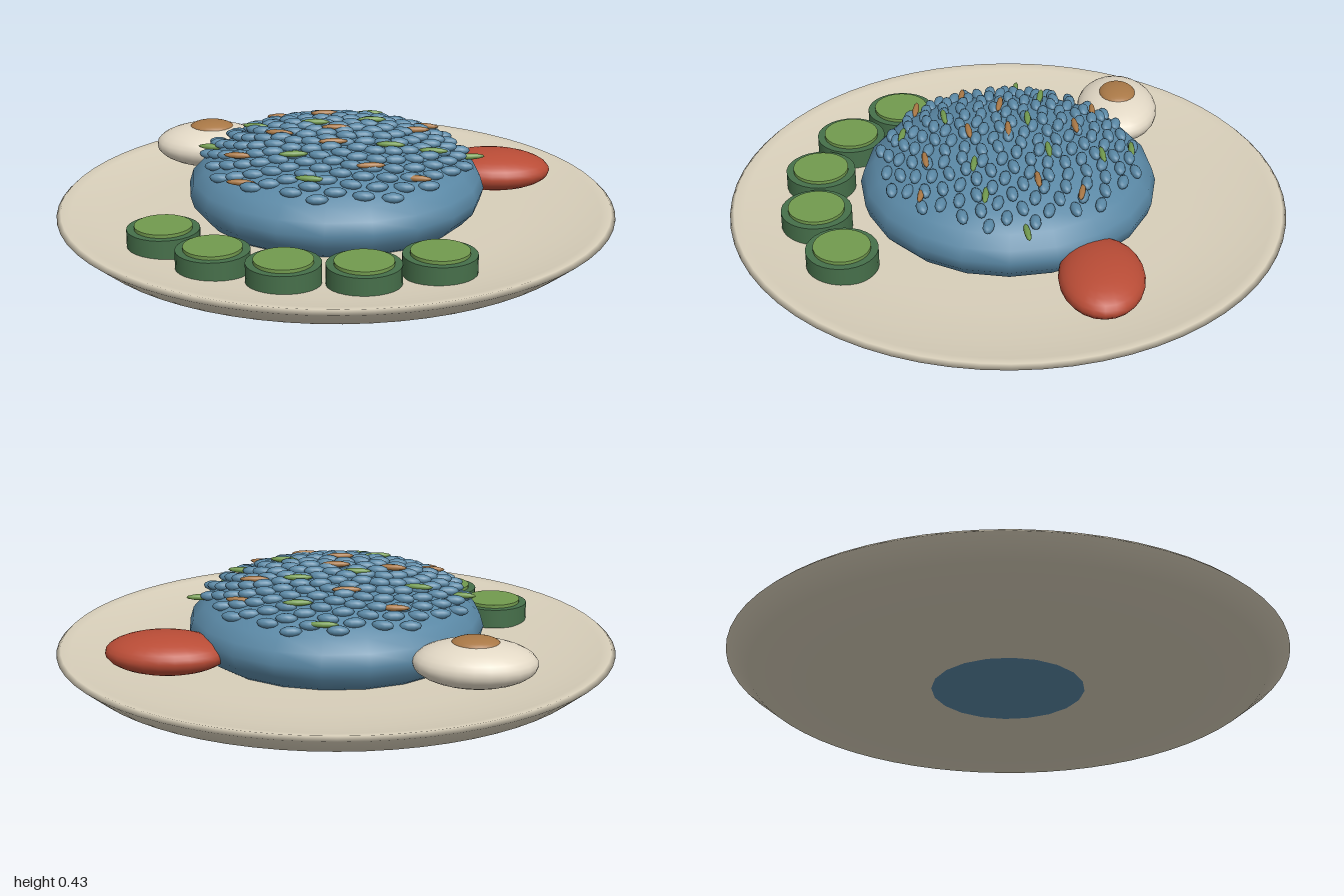
import * as THREE from 'three';

const mat = (name, color) => {
  const m = new THREE.MeshStandardMaterial({ color });
  m.name = name;
  return m;
};

export function createModel() {
  const model = new THREE.Group();
  const cream = mat('plateCream', 0xd8cfba);
  const eggWhite = mat('eggWhite', 0xe2d8c5);
  const blue = mat('riceBlue', 0x5a88a5);
  const darkGreen = mat('cucumberSkin', 0x466f4a);
  const green = mat('cucumberFlesh', 0x729a4e);
  const red = mat('tomatoRed', 0xb94c36);
  const brown = mat('yolkBrown', 0xa97846);

  const add = (name, geometry, material, x = 0, y = 0, z = 0, parent = model) => {
    const mesh = new THREE.Mesh(geometry, material);
    mesh.name = name;
    mesh.position.set(x, y, z);
    parent.add(mesh);
    return mesh;
  };
  const ellipsoid = (rx, ry, rz, w = 24, h = 16) => new THREE.SphereGeometry(1, w, h).scale(rx, ry, rz);

  // Shallow plate: underside, rim, then the sunken floor
  const profile = [
    [0, 0.03], [0.4, 0.03], [0.7, 0.03], [0.92, 0.062], [1, 0.126], [0.985, 0.14],
    [0.95, 0.134], [0.84, 0.113], [0.66, 0.1], [0.4, 0.1], [0, 0.1],
  ].map(([x, y]) => new THREE.Vector2(x, y));
  add('plate', new THREE.LatheGeometry(profile, 64), cream);

  // Rice mound; its underside pokes through the plate
  const R = 0.53, H = 0.2;
  add('riceMound', ellipsoid(R, H, R, 20, 14), blue, 0, H, 0);
  const surfaceY = (x, z) => H + H * Math.sqrt(Math.max(0, 1 - (x * x + z * z) / (R * R)));

  // Grains in a sunflower spiral over the mound, all lying along x
  const grains = new THREE.Group();
  grains.name = 'riceGrains';
  model.add(grains);
  const grain = ellipsoid(0.039, 0.018, 0.02, 10, 6);
  const count = 170;
  for (let i = 0; i < count; i++) {
    const r = 0.465 * Math.sqrt((i + 0.5) / count), a = i * 2.39996;
    const x = r * Math.cos(a), z = r * Math.sin(a);
    const mesh = add('grain', grain, blue, x, surfaceY(x, z) + 0.004, z, grains);
    mesh.rotation.y = Math.sin(i * 1.7) * 0.2;
  }

  // Slim carrot and herb slivers scattered among the grains
  const sliver = ellipsoid(0.052, 0.011, 0.012, 8, 6);
  const scatter = (name, material, spots) => spots.forEach(([x, z], i) => {
    const mesh = add(name, sliver, material, x, surfaceY(x, z) + 0.016, z);
    mesh.rotation.y = Math.sin(i * 2.3) * 0.15;
  });
  scatter('carrotSliver', brown, [
    [-0.23, -0.31], [-0.06, -0.24], [0.31, -0.25], [0.28, -0.1], [0, 0], [-0.2, 0.03],
    [0, 0.14], [-0.33, 0.17], [-0.3, 0.34], [0.14, 0.29], [0.3, 0.3],
  ]);
  scatter('herbSliver', green, [
    [0, -0.44], [0.1, -0.33], [-0.3, -0.12], [0.12, -0.14], [-0.08, -0.07], [-0.45, -0.03],
    [0.48, -0.06], [0.35, 0.08], [0.2, 0.12], [-0.13, 0.23], [-0.06, 0.38],
  ]);

  // Cucumber slices along the front edge
  const skin = new THREE.CylinderGeometry(0.126, 0.126, 0.07, 28);
  const flesh = new THREE.CylinderGeometry(0.1, 0.1, 0.03, 28);
  [[-0.56, 0.41], [-0.365, 0.59], [-0.12, 0.685], [0.143, 0.68], [0.387, 0.573]].forEach(([x, z]) => {
    const slice = new THREE.Group();
    slice.name = 'cucumberSlice';
    slice.position.set(x, 0, z);
    model.add(slice);
    add('cucumberSkin', skin, darkGreen, 0, 0.138, 0, slice);
    add('cucumberFlesh', flesh, green, 0, 0.17, 0, slice);
  });

  // Tomato and egg with its yolk
  add('tomato', ellipsoid(0.215, 0.072, 0.147), red, 0.562, 0.17, -0.308);
  add('egg', ellipsoid(0.213, 0.08, 0.152), eggWhite, -0.508, 0.203, -0.422);
  add('yolk', ellipsoid(0.085, 0.026, 0.069), brown, -0.508, 0.27, -0.422);

  return model;
}
